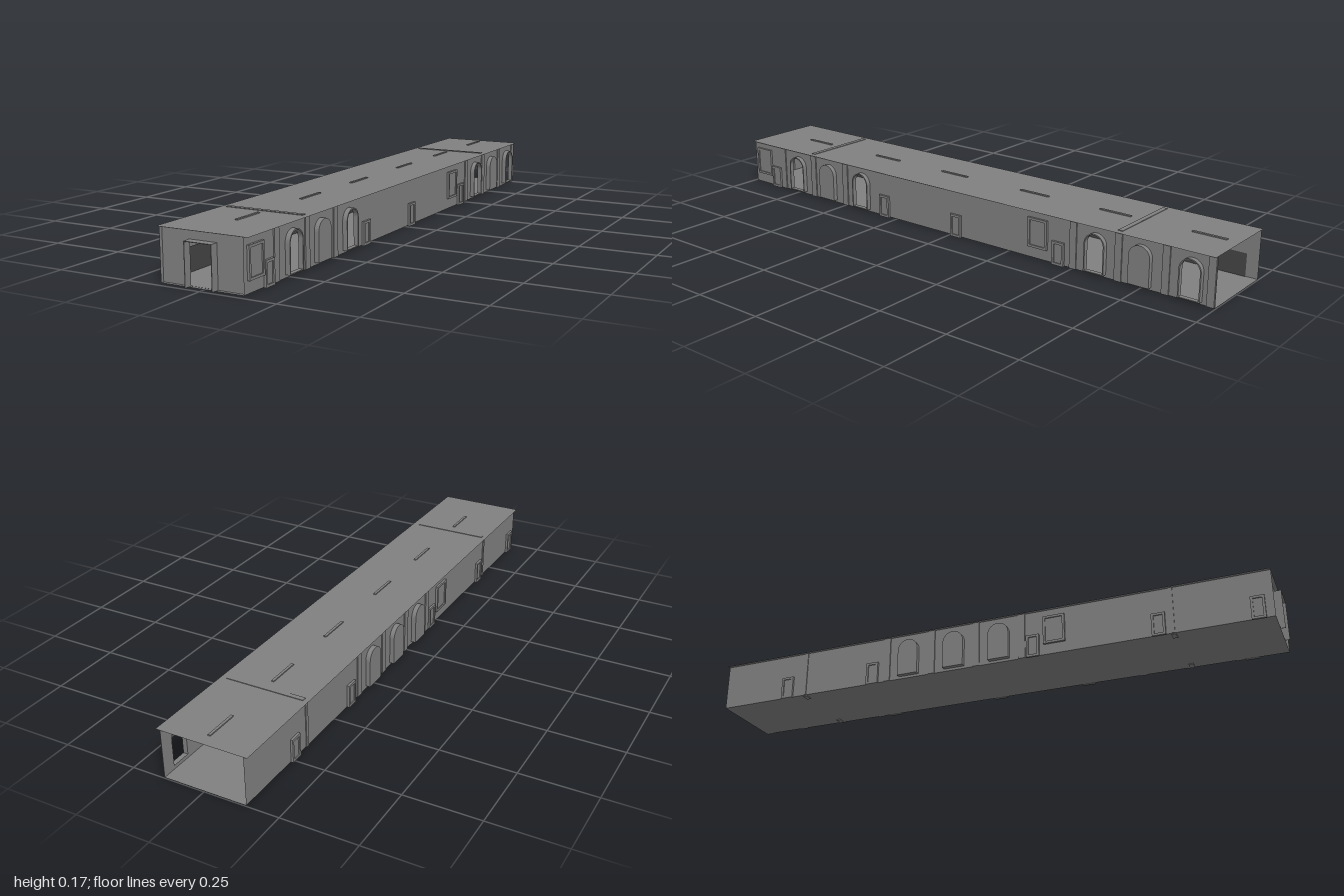
import * as THREE from 'three';

const makeMaterial = color => new THREE.MeshStandardMaterial({ color, side: THREE.DoubleSide, flatShading: true });
const mat = makeMaterial(0x808080);
const darkMat = makeMaterial(0x454545);
const WALL = 0.14, FLOOR = 0.003, ROOF = 0.165, BACK = -1, FRONT = 0.985, FRONT_WALL = 0.973;

function add(parent, name, geometry, material = mat) {
  const mesh = new THREE.Mesh(geometry, material);
  mesh.name = name;
  parent.add(mesh);
  return mesh;
}

function box(parent, name, w, h, d, x, y, z) {
  return add(parent, name, new THREE.BoxGeometry(w, h, d).translate(x, y, z));
}

// Outlines in the plane of a side wall: u runs along z, v is up
function rect(path, u, w, y0, y1) {
  path.moveTo(u - w / 2, y0);
  path.lineTo(u + w / 2, y0);
  path.lineTo(u + w / 2, y1);
  path.lineTo(u - w / 2, y1);
  path.closePath();
  return path;
}

function arch(path, u, w, y0, y1) {
  const r = w / 2;
  path.moveTo(u - r, y0);
  path.lineTo(u + r, y0);
  path.lineTo(u + r, y1 - r);
  path.absarc(u, y1 - r, r, 0, Math.PI, false);
  path.closePath();
  return path;
}

// Extrudes an outline outward from the wall on the given side (+1 or -1)
function onWall(parent, name, side, shape, depth) {
  const geo = new THREE.ExtrudeGeometry(shape, { depth, bevelEnabled: false, curveSegments: 12 });
  geo.rotateY(-Math.PI / 2).translate(side > 0 ? WALL + depth : -WALL, 0, 0);
  return add(parent, name, geo);
}

// Framed recess: a raised rim around a shallower panel
function framedPanel(parent, name, side, z, w, y0, y1, depth) {
  const rim = rect(new THREE.Shape(), z, w, y0, y1);
  rim.holes.push(rect(new THREE.Path(), z, w - 0.016, y0 + 0.008, y1 - 0.008));
  onWall(parent, name + 'Rim', side, rim, depth);
  onWall(parent, name + 'Panel', side, rect(new THREE.Shape(), z, w - 0.016, y0 + 0.008, y1 - 0.008), depth * 0.5);
}

// Arched bay, either an open window or closed by a panel
function archedBay(parent, side, z, open) {
  const shape = arch(new THREE.Shape(), z, 0.074, 0.012, 0.142);
  if (open) shape.holes.push(arch(new THREE.Path(), z, 0.066, 0.015, 0.138));
  onWall(parent, open ? 'archedWindow' : 'archedNiche', side, shape, 0.016);
}

const sides = [
  {
    side: 1, name: 'leftWall',
    openBays: [0.74, 0.41, -0.59, -0.92], closedBays: [0.58, -0.75],
    pilasters: [0.825, 0.66, 0.495, -0.505, -0.67, -0.835, -0.985],
    panels: [0.93, -0.37], doors: [0.865, 0.3, -0.03, -0.45],
  },
  {
    side: -1, name: 'rightWall',
    openBays: [], closedBays: [-0.26, -0.09, 0.075],
    pilasters: [-0.345, -0.175, -0.01, 0.155],
    panels: [0.27], doors: [-0.74, -0.4, 0.195, 0.62, 0.935],
  },
];

export function createModel() {
  const hall = new THREE.Group();
  hall.name = 'hall';
  const length = FRONT - BACK, mid = (FRONT + BACK) / 2;

  // Floor and roof sheets
  add(hall, 'roof', new THREE.PlaneGeometry(0.309, length).rotateX(-Math.PI / 2).translate(0.002, ROOF, mid));
  add(hall, 'floor', new THREE.PlaneGeometry(WALL * 2, length).rotateX(-Math.PI / 2).translate(0, FLOOR, mid));

  // Side walls with their bays, panels and small doors
  for (const s of sides) {
    const group = new THREE.Group();
    group.name = s.name;
    hall.add(group);
    const shape = rect(new THREE.Shape(), mid, length, FLOOR, ROOF);
    for (const z of s.openBays) shape.holes.push(arch(new THREE.Path(), z, 0.066, 0.015, 0.138));
    add(group, 'wallSheet', new THREE.ShapeGeometry(shape, 12).rotateY(-Math.PI / 2).translate(s.side * WALL, 0, 0));
    s.openBays.forEach(z => archedBay(group, s.side, z, true));
    s.closedBays.forEach(z => archedBay(group, s.side, z, false));
    s.pilasters.forEach(z => onWall(group, 'pilaster', s.side, rect(new THREE.Shape(), z, 0.025, FLOOR, ROOF), 0.004));
    s.panels.forEach(z => framedPanel(group, 'wallPanel', s.side, z, 0.075, 0.04, 0.14, 0.008));
    s.doors.forEach(z => framedPanel(group, 'smallDoor', s.side, z, 0.045, 0.001, 0.08, 0.008));
  }

  // Dark lower panelling on the inside of the right wall
  add(hall, 'wainscot', new THREE.PlaneGeometry(1.92, 0.077).rotateY(Math.PI / 2).translate(-WALL + 0.003, 0.0415, 0), darkMat);

  // Front wall with a doorway and a thin sleeve around it
  const front = rect(new THREE.Shape(), 0, WALL * 2, FLOOR, ROOF);
  front.holes.push(rect(new THREE.Path(), 0, 0.09, FLOOR + 0.0005, 0.135));
  add(hall, 'frontWall', new THREE.ShapeGeometry(front).translate(0, 0, FRONT_WALL));
  const sleeve = 1 - FRONT_WALL, sleeveZ = (1 + FRONT_WALL) / 2;
  for (const x of [-0.0455, 0.0455]) box(hall, 'doorwayJamb', 0.002, 0.132, sleeve, x, 0.069, sleeveZ);
  box(hall, 'doorwayHead', 0.093, 0.002, sleeve, 0, 0.136, sleeveZ);

  // Joint ribs running round the hall
  for (const z of [0.665, -0.67]) {
    box(hall, 'roofRib', 0.27, 0.003, 0.016, 0, ROOF + 0.0005, z);
    for (const side of [-1, 1]) {
      box(hall, 'floorRib', 0.03, 0.003, 0.016, side * 0.122, 0.0015, z);
      box(hall, 'wallRib', 0.004, ROOF - FLOOR, 0.012, side * (WALL + 0.001), (ROOF + FLOOR) / 2, z);
    }
  }

  // Ceiling light housings
  for (const z of [0.76, 0.41, 0.09, -0.255, -0.57, -0.9]) {
    box(hall, 'ceilingLight', 0.009, 0.005, 0.115, 0.002, ROOF + 0.001, z);
  }

  // Hanging cross bar inside the hall
  box(hall, 'hangingBar', 0.12, 0.011, 0.012, 0, 0.1125, -0.72);
  for (const x of [-0.055, 0.055]) box(hall, 'barHanger', 0.004, ROOF - 0.118, 0.004, x, (ROOF + 0.118) / 2, -0.72);

  hall.position.x = -0.003;
  const model = new THREE.Group();
  model.name = 'corridor';
  model.add(hall);
  return model;
}
